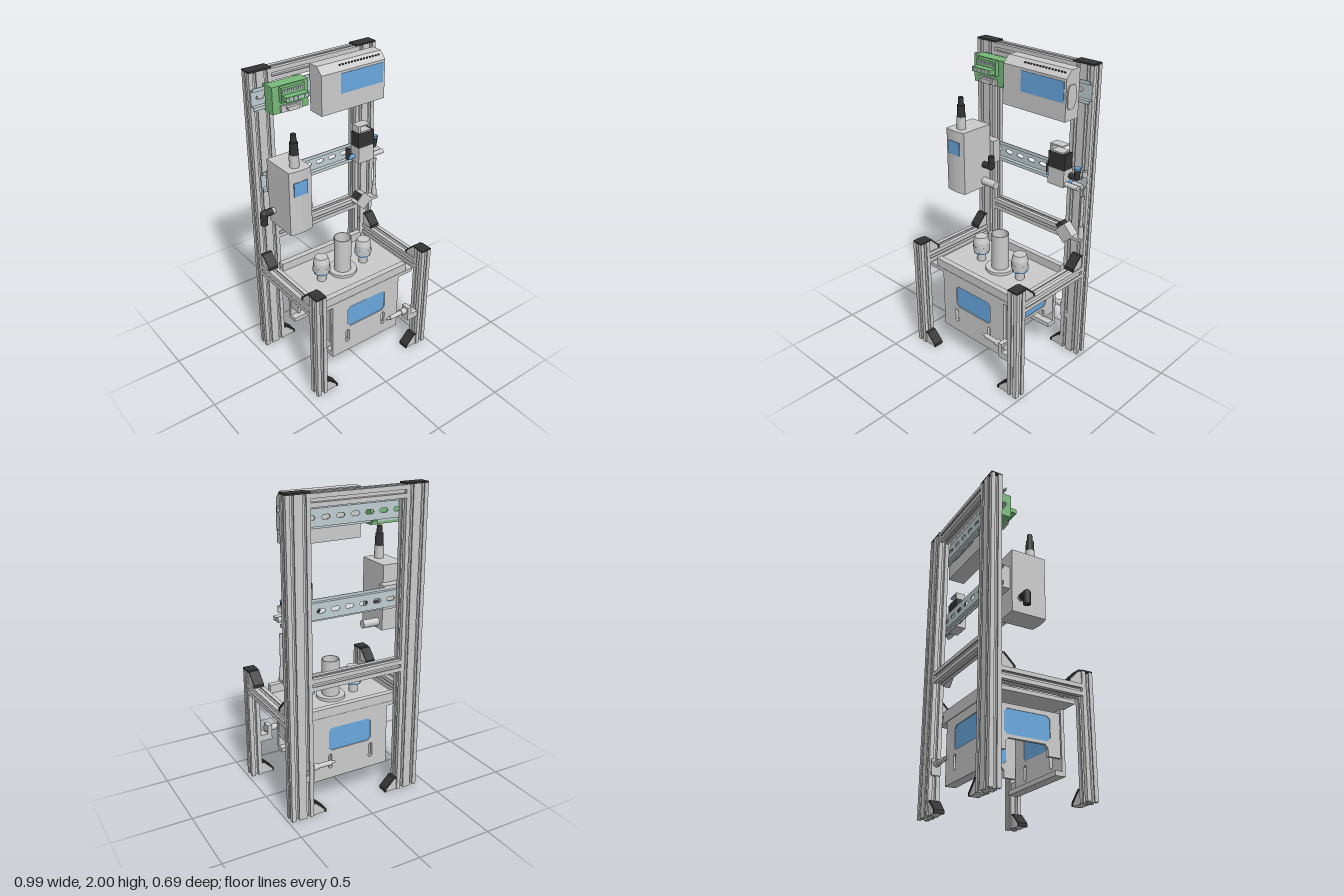
import * as THREE from 'three';

const GREY = 0xcccccc, BLACK = 0x333333, BLUE = 0x69a8e0, GREEN = 0x77bb7a, STEEL = 0xc0ced2;
const mats = {};
const mat = c => mats[c] ??= new THREE.MeshStandardMaterial({ color: c, side: THREE.DoubleSide });

function add(parent, name, geo, color = GREY) {
  const m = new THREE.Mesh(geo, mat(color));
  m.name = name;
  parent.add(m);
  return m;
}
function group(parent, name) {
  const g = new THREE.Group();
  g.name = name;
  parent.add(g);
  return g;
}
// box given by its ranges
function box(p, name, x0, x1, y0, y1, z0, z1, color) {
  const m = add(p, name, new THREE.BoxGeometry(x1 - x0, y1 - y0, z1 - z0), color);
  m.position.set((x0 + x1) / 2, (y0 + y1) / 2, (z0 + z1) / 2);
  return m;
}
// cylinder or cone between two points
function rod(p, name, a, b, r0, r1 = r0, color = GREY, seg = 20) {
  const A = new THREE.Vector3(...a), B = new THREE.Vector3(...b), d = B.clone().sub(A);
  const m = add(p, name, new THREE.CylinderGeometry(r1, r0, d.length(), seg), color);
  m.position.copy(A).add(B).multiplyScalar(0.5);
  m.quaternion.setFromUnitVectors(new THREE.Vector3(0, 1, 0), d.normalize());
  return m;
}
// outline extruded along an axis: x takes [z, y], y takes [x, z], z takes [x, y]
function prism(p, name, axis, pts, from, to, color, holes = []) {
  const map = ([a, b]) => axis === 'x' ? new THREE.Vector2(-a, b) : new THREE.Vector2(a, axis === 'y' ? -b : b);
  const shape = new THREE.Shape(pts.map(map));
  for (const h of holes) shape.holes.push(new THREE.Path(h.map(map)));
  const geo = new THREE.ExtrudeGeometry(shape, { depth: to - from, bevelEnabled: false });
  geo.translate(0, 0, from);
  if (axis === 'x') geo.rotateY(Math.PI / 2);
  if (axis === 'y') geo.rotateX(-Math.PI / 2);
  return add(p, name, geo, color);
}
const rect = (a0, a1, b0, b1, c = 0) => c
  ? [[a0 + c, b0], [a1 - c, b0], [a1, b0 + c], [a1, b1 - c], [a1 - c, b1], [a0 + c, b1], [a0, b1 - c], [a0, b0 + c]]
  : [[a0, b0], [a1, b0], [a1, b1], [a0, b1]];

// slotted aluminium section between corners (a0,b0) and (a1,b1)
function slotted(a0, a1, b0, b1) {
  const U = 0.075, pts = [], c = [[a0, b0], [a1, b0], [a1, b1], [a0, b1]];
  const T = [[-0.011, 0], [-0.011, 0.007], [-0.02, 0.007], [-0.02, 0.012], [-0.01, 0.022],
    [0.01, 0.022], [0.02, 0.012], [0.02, 0.007], [0.011, 0.007], [0.011, 0]];
  c.forEach(([x, y], i) => {
    const [ex, ey] = c[(i + 1) % 4], len = Math.hypot(ex - x, ey - y);
    const dx = (ex - x) / len, dy = (ey - y) / len, n = Math.round(len / U);
    pts.push([x, y]);
    for (let k = 0; k < n; k++) for (const [t, d] of T) {
      const s = (k + 0.5) * len / n + t;
      pts.push([x + dx * s - dy * d, y + dy * s + dx * d]);
    }
  });
  return pts;
}

// corner bracket with a dark cover; local x points away from the post
function bracket(p, name, x, y, z, turn) {
  const g = group(p, name);
  prism(g, 'bracketBody', 'z', [[0, 0], [0.08, 0], [0.08, 0.016], [0.016, 0.08], [0, 0.08]], -0.03, 0.03);
  prism(g, 'bracketCover', 'z', [[0.088, 0], [0.088, 0.02], [0.02, 0.088], [0, 0.088], [0, 0.078],
    [0.016, 0.078], [0.078, 0.016], [0.078, 0]], -0.034, 0.034, BLACK);
  g.position.set(x, y, z);
  g.rotation.y = turn;
}

function frame(root) {
  const g = group(root, 'frame');
  for (const [x0, x1, z0, z1, h] of [[-0.435, -0.285, -0.345, -0.27, 2], [0.33, 0.48, -0.345, -0.27, 2],
    [-0.435, -0.36, 0.268, 0.343, 0.78], [0.405, 0.48, 0.268, 0.343, 0.78]]) {
    prism(g, 'post', 'y', slotted(x0, x1, z0, z1), 0, h - 0.01);
    box(g, 'postCap', x0, x1, h - 0.01, h, z0, z1, BLACK);
  }
  for (const y of [0.845, 1.915]) prism(g, 'crossBar', 'x', slotted(-0.345, -0.27, y, y + 0.075), -0.285, 0.33);
  for (const x of [-0.435, 0.405]) {
    prism(g, 'sideBeam', 'z', slotted(x, x + 0.075, 0.615, 0.69), -0.27, 0.268);
    bracket(g, 'frontBeamBracket', x + 0.0375, 0.69, 0.268, Math.PI / 2);
    bracket(g, 'rearBeamBracket', x + 0.0375, 0.69, -0.27, -Math.PI / 2);
  }
  bracket(g, 'footBracket', -0.285, 0, -0.307, 0);
  bracket(g, 'footBracket', 0.33, 0, -0.307, Math.PI);
  bracket(g, 'footBracket', -0.36, 0, 0.305, 0);
  bracket(g, 'footBracket', 0.405, 0, 0.305, Math.PI);
}

// hat-section mounting rail with slots
function rail(root, x0, x1, y) {
  const g = group(root, 'mountingRail'), holes = [];
  for (let x = x0 + 0.06; x < x1 - 0.05; x += 0.095) holes.push(rect(x - 0.028, x + 0.028, y - 0.013, y + 0.013, 0.01));
  prism(g, 'railWeb', 'z', rect(x0, x1, y - 0.05, y + 0.05), -0.269, -0.264, STEEL, holes);
  for (const s of [-1, 1]) {
    const r = (a, b) => [y + Math.min(s * a, s * b), y + Math.max(s * a, s * b)];
    box(g, 'railWall', x0, x1, ...r(0.046, 0.051), -0.269, -0.24, STEEL);
    box(g, 'railFlange', x0, x1, ...r(0.046, 0.0675), -0.244, -0.239, STEEL);
  }
}

function tank(root) {
  const g = group(root, 'tank');
  box(g, 'topPlate', -0.36, 0.405, 0.585, 0.61, -0.225, 0.225);
  const win = [-0.13, 0.175, 0.37, 0.525, 0.02];
  const slot = x => rect(x - 0.014, x + 0.014, 0.245, 0.345, 0.009);
  for (const s of [-1, 1]) {
    const zr = (a, b) => [Math.min(s * a, s * b), Math.max(s * a, s * b)];
    const name = s > 0 ? 'front' : 'back';
    prism(g, name + 'Panel', 'z', rect(-0.25, 0.29, 0.175, 0.64), ...zr(0.232, 0.255), GREY,
      [rect(...win), slot(-0.13), slot(0.165)]);
    prism(g, name + 'Window', 'z', rect(...win), ...zr(0.236, 0.249), BLUE);
    box(g, name + 'Lip', -0.305, 0.345, 0.61, 0.667, ...zr(0.22, 0.258));
    box(g, name + 'EdgeStrip', -0.36, 0.405, 0.585, 0.61, ...zr(0.225, 0.26));
    box(g, name + 'BottomFold', -0.25, 0.29, 0.175, 0.205, ...zr(0.185, 0.235));
  }
  // arched side panels
  const arch = [[-0.225, 0.555], [-0.225, 0.28], [-0.14, 0.28], [-0.14, 0.33], [-0.12, 0.35],
    [0.12, 0.35], [0.14, 0.33], [0.14, 0.28], [0.225, 0.28], [0.225, 0.555]];
  const sideWin = rect(-0.152, 0.157, 0.37, 0.525, 0.02);
  for (const x of [-0.25, 0.27]) {
    prism(g, 'sidePanel', 'x', arch, x, x + 0.02, GREY, [sideWin]);
    prism(g, 'sideWindow', 'x', sideWin, x + 0.005, x + 0.015, BLUE);
  }
  // central open pipe and two vent fittings
  const lathe = (name, x, pts, color) => {
    const m = add(g, name, new THREE.LatheGeometry(pts.map(q => new THREE.Vector2(...q)), 28), color);
    m.position.x = x;
  };
  rod(g, 'pipeFlange', [0.02, 0.608, 0], [0.02, 0.63, 0], 0.095, 0.095, GREY, 28);
  lathe('pipeInside', 0.02, [[0.052, 0.63], [0.052, 0.87]]);
  lathe('pipeRim', 0.02, [[0.052, 0.87], [0.057, 0.87]]);
  lathe('pipe', 0.02, [[0.057, 0.87], [0.057, 0.6]]);
  for (const x of [-0.15, 0.192]) {
    rod(g, 'ventStem', [x, 0.555, 0], [x, 0.675, 0], 0.03);
    rod(g, 'ventNut', [x, 0.557, 0], [x, 0.58, 0], 0.05, 0.05, GREY, 6);
    rod(g, 'ventSeal', [x, 0.67, 0], [x, 0.682, 0], 0.051, 0.051, BLUE);
    rod(g, 'ventHex', [x, 0.68, 0], [x, 0.72, 0], 0.057, 0.057, GREY, 6);
    rod(g, 'ventBody', [x, 0.72, 0], [x, 0.75, 0], 0.053);
    rod(g, 'ventTop', [x, 0.75, 0], [x, 0.788, 0], 0.053, 0.042);
  }
}

// level probe clamped to a right-hand post
function probe(root, z) {
  const g = group(root, 'levelProbe'), y = 0.317;
  box(g, 'probeArm', 0.32, 0.405, 0.245, 0.29, z - 0.03, z + 0.03);
  box(g, 'probeHolder', 0.32, 0.35, 0.245, 0.348, z - 0.03, z + 0.03);
  rod(g, 'probeBody', [0.28, y, z], [0.36, y, z], 0.021);
  rod(g, 'probeRod', [0.185, y, z], [0.29, y, z], 0.015);
  rod(g, 'probeTip', [0.16, y, z], [0.19, y, z], 0.008);
}

// push-in elbow made of two arms and a rounded corner
function elbow(root, name, a, b, c, r = 0.021) {
  const g = group(root, name);
  rod(g, 'elbowArm', a, b, r, r, BLACK);
  rod(g, 'elbowArm', b, c, r, r, BLACK);
  add(g, 'elbowCorner', new THREE.SphereGeometry(r, 16, 12), BLACK).position.set(...b);
}

function controller(root) {
  const g = group(root, 'controller');
  prism(g, 'controllerCase', 'x', [[-0.222, 1.69], [-0.105, 1.69], [-0.105, 1.94], [-0.15, 1.985], [-0.222, 1.985]], -0.055, 0.42);
  box(g, 'screen', 0.085, 0.405, 1.80, 1.925, -0.106, -0.102, BLUE);
  prism(g, 'sidePort', 'x', [[-0.115, 1.78], [-0.115, 1.87], [-0.13, 1.90], [-0.175, 1.90], [-0.19, 1.87], [-0.19, 1.80], [-0.17, 1.76], [-0.13, 1.76]], 0.42, 0.427);
  for (let i = 0; i < 14; i++) {
    const x = 0.095 + i * 0.0225;
    box(g, 'indicator', x - 0.005, x + 0.005, 1.963, 1.973, -0.134, -0.126, BLACK).rotation.x = Math.PI / 4;
  }
  box(g, 'railClip', 0.05, 0.32, 1.79, 1.90, -0.245, -0.222);
}

function terminalBoard(root) {
  const g = group(root, 'terminalBoard');
  box(g, 'boardBase', -0.355, -0.11, 1.76, 1.925, -0.24, -0.162, GREEN);
  for (const x of [-0.352, -0.148]) for (const y of [1.765, 1.9]) box(g, 'boardFoot', x, x + 0.038, y, y + 0.02, -0.263, -0.24, GREEN);
  box(g, 'terminalHousing', -0.31, -0.15, 1.83, 1.92, -0.162, -0.135, GREEN);
  box(g, 'terminalFront', -0.305, -0.152, 1.845, 1.875, -0.135, -0.092, GREEN);
  for (const y of [1.852, 1.89]) for (let i = 0; i < 10; i++)
    box(g, 'terminal', -0.302 + i * 0.015, -0.291 + i * 0.015, y, y + 0.018, -0.14, y < 1.87 ? -0.09 : -0.13, STEEL);
  prism(g, 'socket', 'z', [[-0.305, 1.765], [-0.16, 1.765], [-0.16, 1.805], [-0.305, 1.805]], -0.162, -0.15);
  prism(g, 'socketShell', 'z', [[-0.265, 1.772], [-0.195, 1.772], [-0.185, 1.798], [-0.275, 1.798]], -0.15, -0.13);
}

function flowUnit(root) {
  const g = group(root, 'flowUnit'), z = -0.127;
  prism(g, 'unitCase', 'y', [[-0.402, -0.183], [-0.246, -0.183], [-0.246, 0.048], [-0.285, 0.056], [-0.325, 0.059], [-0.365, 0.056], [-0.402, 0.048]], 1.07, 1.49);
  box(g, 'unitDisplay', -0.375, -0.28, 1.33, 1.42, 0.055, 0.061, BLUE);
  box(g, 'unitClip', -0.375, -0.215, 1.23, 1.38, -0.245, -0.183);
  rod(g, 'glandBase', [-0.325, 1.49, -0.008], [-0.325, 1.57, -0.008], 0.03);
  rod(g, 'glandBody', [-0.325, 1.565, -0.008], [-0.325, 1.645, -0.008], 0.028, 0.025, BLACK, 12);
  rod(g, 'glandTip', [-0.325, 1.645, -0.008], [-0.325, 1.695, -0.008], 0.019, 0.016, BLACK);
  rod(g, 'portCollar', [-0.43, 1.165, z], [-0.4, 1.165, z], 0.019);
  elbow(g, 'inletElbow', [-0.42, 1.165, z], [-0.477, 1.165, z], [-0.477, 1.09, z], 0.023);
  elbow(g, 'outletElbow', [-0.246, 1.23, z], [-0.18, 1.23, z], [-0.18, 1.305, z]);
  rod(g, 'sidePipe', [-0.25, 1.113, z], [-0.135, 1.113, z], 0.026);
}

function valve(root) {
  const g = group(root, 'valve');
  box(g, 'valveBody', 0.268, 0.39, 1.255, 1.365, -0.238, -0.155);
  box(g, 'valveCoil', 0.265, 0.392, 1.365, 1.465, -0.228, -0.158, BLACK);
  box(g, 'coilPlate', 0.285, 0.37, 1.465, 1.474, -0.228, -0.16);
  box(g, 'coilTab', 0.27, 0.285, 1.465, 1.512, -0.23, -0.165);
  box(g, 'coilTabTop', 0.27, 0.365, 1.503, 1.512, -0.23, -0.165);
  rod(g, 'inletCollar', [0.22, 1.29, -0.21], [0.27, 1.29, -0.21], 0.015, 0.015, BLUE);
  elbow(g, 'valveInlet', [0.265, 1.29, -0.215], [0.225, 1.29, -0.215], [0.225, 1.355, -0.215], 0.016);
  for (const z of [-0.215, -0.178]) rod(g, 'outletCollar', [0.385, 1.275, z], [0.484, 1.275, z], 0.016);
  rod(g, 'outletRing', [0.395, 1.275, -0.215], [0.415, 1.275, -0.215], 0.019, 0.019, BLUE);
  elbow(g, 'valveOutlet', [0.39, 1.32, -0.215], [0.443, 1.32, -0.215], [0.443, 1.375, -0.215], 0.018);
  rod(g, 'outletPort', [0.443, 1.375, -0.215], [0.443, 1.385, -0.215], 0.02, 0.02, BLUE);
}

// angled switch on the right rear post with its slim actuator
function switchUnit(root) {
  const g = group(root, 'postSwitch');
  const block = group(g, 'switchBlock');
  box(block, 'switchBody', -0.048, 0.048, -0.048, 0.048, -0.03, 0.03);
  box(block, 'switchButton', -0.025, 0.025, 0.048, 0.075, -0.025, 0.025, BLACK);
  block.position.set(0.365, 0.917, -0.24);
  block.rotation.z = Math.PI / 4;
  box(g, 'switchFoot', 0.41, 0.485, 0.9, 0.92, -0.268, -0.21);
  rod(g, 'actuatorBody', [0.475, 0.915, -0.24], [0.475, 1.0, -0.24], 0.018, 0.014);
  rod(g, 'actuatorRod', [0.475, 1.0, -0.24], [0.475, 1.2, -0.24], 0.01);
  rod(g, 'actuatorEnd', [0.478, 1.33, -0.243], [0.478, 1.365, -0.243], 0.015);
}

export function createModel() {
  const root = new THREE.Group();
  root.name = 'testStand';
  frame(root);
  rail(root, -0.40, 0.48, 1.303);
  rail(root, -0.432, 0.48, 1.843);
  tank(root);
  probe(root, 0.304);
  probe(root, -0.304);
  controller(root);
  terminalBoard(root);
  flowUnit(root);
  valve(root);
  switchUnit(root);
  return root;
}
